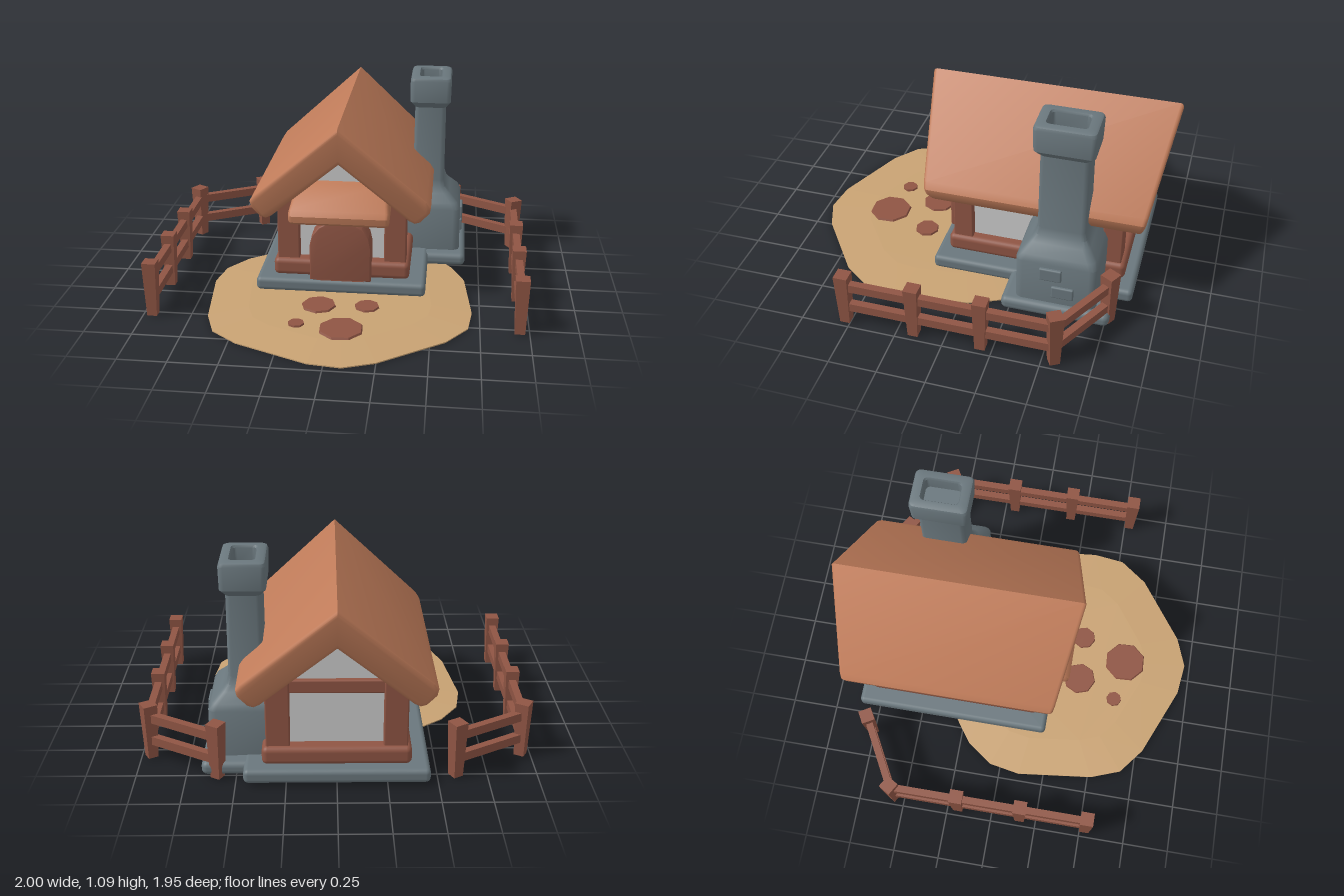
import * as THREE from 'three';
import { toCreasedNormals } from 'three/addons/utils/BufferGeometryUtils.js';
import { RoundedBoxGeometry } from 'three/addons/geometries/RoundedBoxGeometry.js';
import { ConvexGeometry } from 'three/addons/geometries/ConvexGeometry.js';

const mat = (color) => new THREE.MeshStandardMaterial({ color });
const ROOF = mat(0xc07c5a), WOOD = mat(0x8f5544), STONE = mat(0x6a777d);
const DIRT = mat(0xc8a273), PLASTER = mat(0xcccccc);

function add(parent, name, geometry, material) {
  const mesh = new THREE.Mesh(geometry, material);
  mesh.name = name;
  parent.add(mesh);
  return mesh;
}

// Rounded box given by its extents on each axis
function block(parent, name, [x0, x1], [y0, y1], [z0, z1], r, material) {
  const g = new RoundedBoxGeometry(x1 - x0, y1 - y0, z1 - z0, 3, r);
  const mesh = add(parent, name, g, material);
  mesh.position.set((x0 + x1) / 2, (y0 + y1) / 2, (z0 + z1) / 2);
  return mesh;
}

// Bevelled extrusion of an outline, centred on z = 0
function slab(points, depth, bevel, hole) {
  const shape = new THREE.Shape(points.map(([x, y]) => new THREE.Vector2(x, y)));
  if (hole) shape.holes.push(new THREE.Path(hole.map(([x, y]) => new THREE.Vector2(x, y))));
  const g = new THREE.ExtrudeGeometry(shape, {
    depth: depth - 2 * bevel, bevelEnabled: bevel > 0, bevelThickness: bevel,
    bevelSize: bevel, bevelOffset: -bevel, bevelSegments: 3,
  });
  return g.translate(0, 0, bevel - depth / 2);
}

// Skin over rounded-rectangle sections [y, centreX, centreZ, halfX, halfZ, radius]
function loft(sections) {
  const pos = [], index = [], n = 16;
  for (const [y, cx, cz, hx, hz, r] of sections) {
    for (let q = 0; q < 4; q++) {
      const sx = q === 0 || q === 3 ? 1 : -1, sz = q < 2 ? 1 : -1;
      for (let k = 0; k < 4; k++) {
        const a = (q + k / 3) * Math.PI / 2;
        pos.push(cx + sx * (hx - r) + r * Math.cos(a), y, cz + sz * (hz - r) + r * Math.sin(a));
      }
    }
  }
  const last = (sections.length - 1) * n;
  for (let j = 0; j < n; j++) {
    const k = (j + 1) % n;
    for (let i = 0; i < last; i += n) {
      index.push(i + j, i + n + j, i + k, i + k, i + n + j, i + n + k);
    }
    if (j > 0 && j < n - 1) index.push(last, last + k, last + j);
  }
  const g = new THREE.BufferGeometry();
  g.setAttribute('position', new THREE.Float32BufferAttribute(pos, 3));
  g.setIndex(index);
  return toCreasedNormals(g, 0.6);
}

// Arch outline: straight legs with a half-round top
function arch(half, bottom, spring, rise) {
  const pts = [[-half, bottom], [half, bottom]];
  for (let i = 0; i <= 8; i++) {
    const a = i / 8 * Math.PI;
    pts.push([half * Math.cos(a), spring + rise * Math.sin(a)]);
  }
  return pts;
}

function makeGround(root) {
  const outline = [[-0.71, 0.11], [-0.68, -0.06], [-0.58, -0.2], [-0.47, -0.28], [-0.1, -0.52],
    [0.1, -0.5], [0.47, -0.38], [0.6, -0.2], [0.67, -0.04], [0.71, 0.35], [0.69, 0.52],
    [0.58, 0.67], [0.25, 0.91], [0.09, 0.97], [-0.08, 0.95], [-0.46, 0.79], [-0.6, 0.68], [-0.66, 0.52]];
  const pts = [];
  for (const [x, z] of outline) {
    pts.push(new THREE.Vector3(x, 0, z), new THREE.Vector3(x, 0.006, z),
      new THREE.Vector3(x * 0.7, 0.018, 0.2 + (z - 0.2) * 0.7));
  }
  add(root, 'dirtPatch', new ConvexGeometry(pts), DIRT);
  // Stepping stones
  for (const [x, z, r] of [[0.05, 0.62, 0.127], [-0.095, 0.37, 0.1], [0.16, 0.36, 0.072], [-0.185, 0.585, 0.047]]) {
    const g = toCreasedNormals(new THREE.CylinderGeometry(r * 0.88, r, 0.026, 8), 0.4);
    const stone = add(root, 'steppingStone', g, WOOD);
    stone.position.set(x, 0.015, z);
    stone.rotation.y = x * 9;
  }
}

function makeHouse(root) {
  const house = new THREE.Group();
  house.name = 'house';
  root.add(house);
  block(house, 'foundation', [-0.46, 0.46], [0.015, 0.09], [-0.86, 0.22], 0.025, STONE);
  block(house, 'baseBeam', [-0.37, 0.37], [0.085, 0.182], [-0.8, 0.16], 0.028, WOOD);

  // Plaster walls with gables
  const wall = slab([[-0.31, 0.1], [0.31, 0.1], [0.31, 0.54], [0, 0.82], [-0.31, 0.54]], 0.82, 0);
  add(house, 'walls', wall, PLASTER).position.z = -0.32;

  // Corner posts and tie beams
  for (const s of [-1, 1]) {
    const xs = s > 0 ? [0.23, 0.35] : [-0.35, -0.23];
    block(house, 'frontPost', xs, [0.15, 0.53], [0.03, 0.135], 0.008, WOOD);
    block(house, 'backPost', xs, [0.15, 0.53], [-0.775, -0.67], 0.008, WOOD);
  }
  block(house, 'frontTieBeam', [-0.3, 0.3], [0.46, 0.53], [0.04, 0.115], 0.008, WOOD);
  block(house, 'backTieBeam', [-0.3, 0.3], [0.46, 0.53], [-0.755, -0.68], 0.008, WOOD);

  // Thick gabled roof whose ends lean outward toward the ridge
  const half = [[-0.365, 0.46], [-0.395, 0.445], [-0.425, 0.455], [-0.472, 0.51], [-0.478, 0.545], [-0.455, 0.58]];
  const roof = slab([[0, 0.78], ...half, [0, 0.985], ...half.map(([x, y]) => [-x, y]).reverse()], 1.15, 0.022);
  const p = roof.attributes.position;
  for (let i = 0; i < p.count; i++) {
    p.setZ(i, p.getZ(i) + Math.sign(p.getZ(i)) * 0.2 * (p.getY(i) - 0.54));
  }
  add(house, 'roof', toCreasedNormals(roof, 0.65), ROOF).position.z = -0.32;

  // Sloping awning over the door, narrower at the wall
  const awning = slab([[0.06, 0.49], [0.25, 0.445], [0.285, 0.442], [0.308, 0.46], [0.312, 0.495],
    [0.29, 0.525], [0.12, 0.615], [0.06, 0.625]], 0.53, 0.022).rotateY(-Math.PI / 2);
  const q = awning.attributes.position;
  for (let i = 0; i < q.count; i++) {
    q.setX(i, q.getX(i) * (1 - 0.9 * Math.max(0, q.getY(i) - 0.52)));
  }
  add(house, 'awning', toCreasedNormals(awning, 0.65), ROOF);

  // Arched door with frame and cross planks
  const frame = slab(arch(0.165, 0.09, 0.29, 0.15), 0.13, 0.01, arch(0.118, 0.1, 0.29, 0.11));
  add(house, 'doorFrame', toCreasedNormals(frame, 0.4), WOOD).position.z = 0.15;
  add(house, 'doorPanel', slab(arch(0.125, 0.09, 0.29, 0.115), 0.1, 0), WOOD).position.z = 0.12;
  for (const y of [0.17, 0.285]) {
    block(house, 'doorPlank', [-0.118, 0.118], [y - 0.023, y + 0.023], [0.15, 0.195], 0.006, WOOD);
  }
}

function makeChimney(root) {
  const chimney = new THREE.Group();
  chimney.name = 'chimney';
  root.add(chimney);
  block(chimney, 'chimneyFooting', [0.22, 0.672], [0.012, 0.085], [-0.775, -0.21], 0.03, STONE);
  const x = 0.447, z = -0.487;
  const stack = loft([
    [0.05, x, z, 0.19, 0.212, 0.04], [0.33, x, z, 0.188, 0.21, 0.04],
    [0.365, x, z, 0.172, 0.195, 0.04], [0.41, x, z, 0.125, 0.155, 0.035],
    [0.44, x, z, 0.1, 0.135, 0.03], [0.48, x, z, 0.088, 0.125, 0.025],
    [0.91, x, z, 0.086, 0.122, 0.025], [0.945, x, z, 0.112, 0.152, 0.025],
    [1.065, x, z, 0.114, 0.156, 0.025], [1.08, x, z, 0.108, 0.15, 0.025],
    [1.086, x, z, 0.098, 0.14, 0.025], [1.086, x, z, 0.066, 0.104, 0.022],
    [1.075, x, z, 0.06, 0.098, 0.022], [1.0, x, z, 0.058, 0.096, 0.022],
  ]);
  add(chimney, 'chimneyStack', stack, STONE);
  block(chimney, 'brick', [0.6, 0.65], [0.235, 0.308], [-0.52, -0.405], 0.008, STONE);
  block(chimney, 'brick', [0.6, 0.65], [0.13, 0.2], [-0.585, -0.47], 0.008, STONE);
}

// One side of the fence: tapered posts joined by two rails
function makeFence(root, s) {
  const fence = new THREE.Group();
  fence.name = s > 0 ? 'leftFence' : 'rightFence';
  root.add(fence);
  const path = [[0.95, 0.525], [0.95, 0.16], [0.95, -0.19], [0.95, -0.56], [0.592, -0.76]];
  const turn = [0, 0, 0, 0.52, 1.05];
  path.forEach(([x, z], i) => {
    const g = new THREE.BoxGeometry(0.072, 0.3, 0.072);
    const p = g.attributes.position;
    for (let v = 0; v < p.count; v++) {
      if (p.getY(v) < 0) p.setXYZ(v, p.getX(v) * 0.72, p.getY(v), p.getZ(v) * 0.72);
    }
    g.computeVertexNormals();
    const post = add(fence, 'fencePost', g, WOOD);
    post.position.set(s * x, 0.153, z);
    post.rotation.y = s * turn[i];
    if (i === 0) return;
    const [px, pz] = path[i - 1];
    for (const y of [0.105, 0.231]) {
      const rail = add(fence, 'fenceRail', new THREE.BoxGeometry(0.038, 0.047, Math.hypot(x - px, z - pz)), WOOD);
      rail.position.set(s * (x + px) / 2, y, (z + pz) / 2);
      rail.rotation.y = Math.atan2(s * (px - x), pz - z);
    }
  });
}

export function createModel() {
  const root = new THREE.Group();
  root.name = 'cottage';
  makeGround(root);
  makeHouse(root);
  makeChimney(root);
  for (const s of [-1, 1]) makeFence(root, s);
  return root;
}
